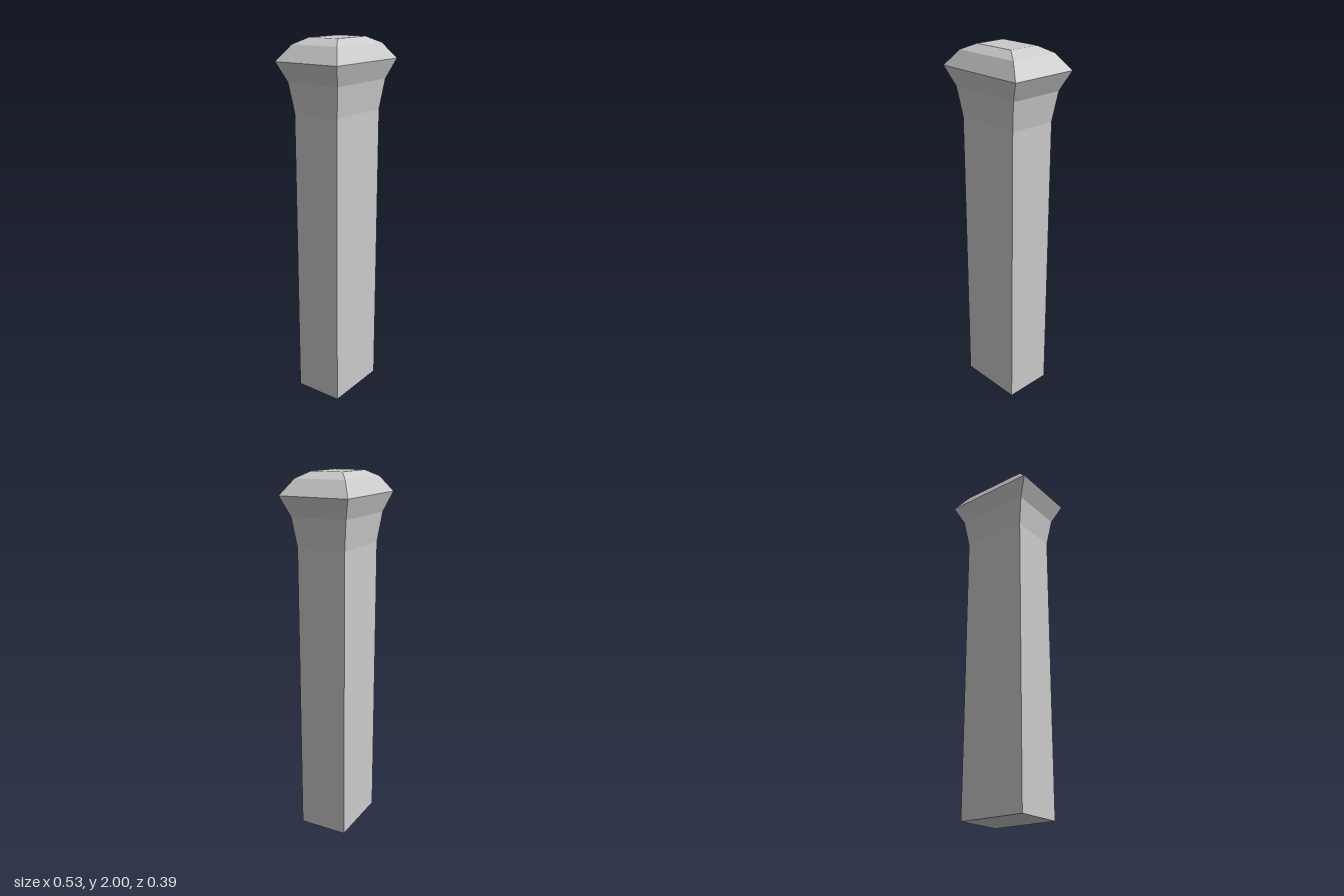
import * as THREE from 'three';

const material = new THREE.MeshStandardMaterial({ color: 0xcccccc, flatShading: true });

// Stacks rectangular sections [y, half width, half depth] into a faceted solid.
function loftRectangles(name, sections, { bottom = false, top = false }) {
  const corners = [[1, 1], [1, -1], [-1, -1], [-1, 1]];
  const positions = sections.flatMap(([y, hx, hz]) =>
    corners.flatMap(([sx, sz]) => [sx * hx, y, sz * hz]));
  const indices = [];
  const quad = (a, b, c, d) => indices.push(a, b, c, a, c, d);

  for (let s = 0; s < sections.length - 1; s++) {
    for (let i = 0; i < 4; i++) {
      const a = s * 4 + i, b = s * 4 + (i + 1) % 4;
      quad(a, b, b + 4, a + 4);
    }
  }
  const last = (sections.length - 1) * 4;
  if (bottom) quad(0, 3, 2, 1);
  if (top) quad(last, last + 1, last + 2, last + 3);

  const indexed = new THREE.BufferGeometry();
  indexed.setAttribute('position', new THREE.Float32BufferAttribute(positions, 3));
  indexed.setIndex(indices);
  const geometry = indexed.toNonIndexed();
  geometry.computeVertexNormals();
  const mesh = new THREE.Mesh(geometry, material);
  mesh.name = name;
  return mesh;
}

export function createModel() {
  const model = new THREE.Group();
  model.name = 'post';

  // Straight rectangular shaft
  const shaftTop = [1.62, 0.189, 0.137];
  model.add(loftRectangles('shaft', [[0, 0.189, 0.137], shaftTop], { bottom: true }));

  // Flared neck widening to the rim
  const rim = [1.885, 0.267, 0.194];
  model.add(loftRectangles('flaredNeck', [shaftTop, [1.78, 0.214, 0.157], rim], {}));

  // Bevelled cap with a flat top
  model.add(loftRectangles('cap', [rim, [1.967, 0.196, 0.142], [2, 0.123, 0.089]], { top: true }));

  return model;
}
